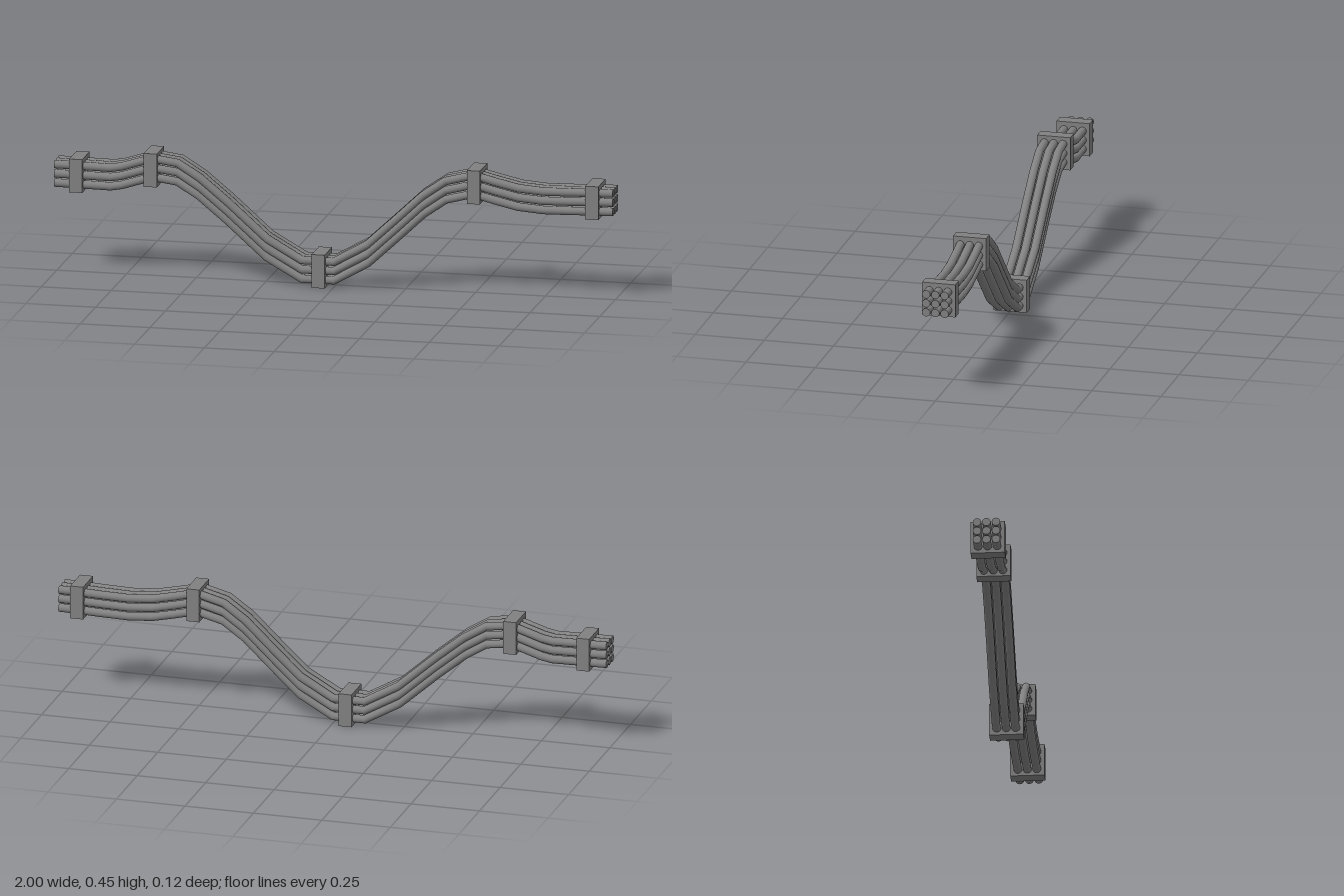
import * as THREE from 'three';

// Centre line of the bundle (x, y)
const PATH = [
  [-1, 0.357], [-0.92, 0.356], [-0.8, 0.354], [-0.76, 0.361], [-0.65, 0.396], [-0.56, 0.384],
  [-0.48, 0.335], [-0.38, 0.253], [-0.24, 0.129], [-0.115, 0.058], [0, 0.058], [0.12, 0.126],
  [0.22, 0.219], [0.32, 0.314], [0.4, 0.37], [0.5, 0.396], [0.58, 0.376], [0.66, 0.358],
  [0.75, 0.351], [0.85, 0.353], [0.93, 0.356], [1, 0.357],
];
const RADIUS = 0.0147, SPACING = 0.0333, CLAMP = 0.12;

// Straight runs between the path points, with one tube ring at each point
class CableCurve extends THREE.Curve {
  getPoint(t, target = new THREE.Vector3()) {
    const s = t * (PATH.length - 1);
    const i = Math.min(Math.floor(s), PATH.length - 2);
    const f = s - i, a = PATH[i], b = PATH[i + 1];
    return target.set(a[0] + (b[0] - a[0]) * f, a[1] + (b[1] - a[1]) * f, 0);
  }
  getPointAt(t, target) { return this.getPoint(t, target); }
  getTangentAt(t, target) { return this.getTangent(t, target); }
}

export function createModel() {
  const group = new THREE.Group();
  const material = new THREE.MeshStandardMaterial({ color: 0x808080 });
  const add = (parent, name, geometry, x, y, z) => {
    const mesh = new THREE.Mesh(geometry, material);
    mesh.name = name;
    mesh.position.set(x, y, z);
    parent.add(mesh);
    return mesh;
  };

  // Three by three bundle of identical cables with capped ends
  const tube = new THREE.TubeGeometry(new CableCurve(), PATH.length - 1, RADIUS, 20, false);
  const cap = new THREE.CircleGeometry(RADIUS, 20);
  for (let row = -1; row <= 1; row++) {
    for (let col = -1; col <= 1; col++) {
      const cable = new THREE.Group();
      cable.name = 'cable';
      cable.position.set(0, row * SPACING, col * SPACING);
      add(cable, 'cableSheath', tube, 0, 0, 0);
      for (const side of [-1, 1]) {
        add(cable, 'cableEnd', cap, side, PATH[0][1], 0).rotation.y = side * Math.PI / 2;
      }
      group.add(cable);
    }
  }

  // Square clamps holding the bundle
  const clamp = new THREE.BoxGeometry(0.047, CLAMP, CLAMP);
  for (const [x, y] of [[-0.919, 0.358], [-0.652, 0.392], [-0.051, 0.06], [0.505, 0.392], [0.929, 0.358]]) {
    add(group, 'clamp', clamp, x, y, 0);
  }
  return group;
}
